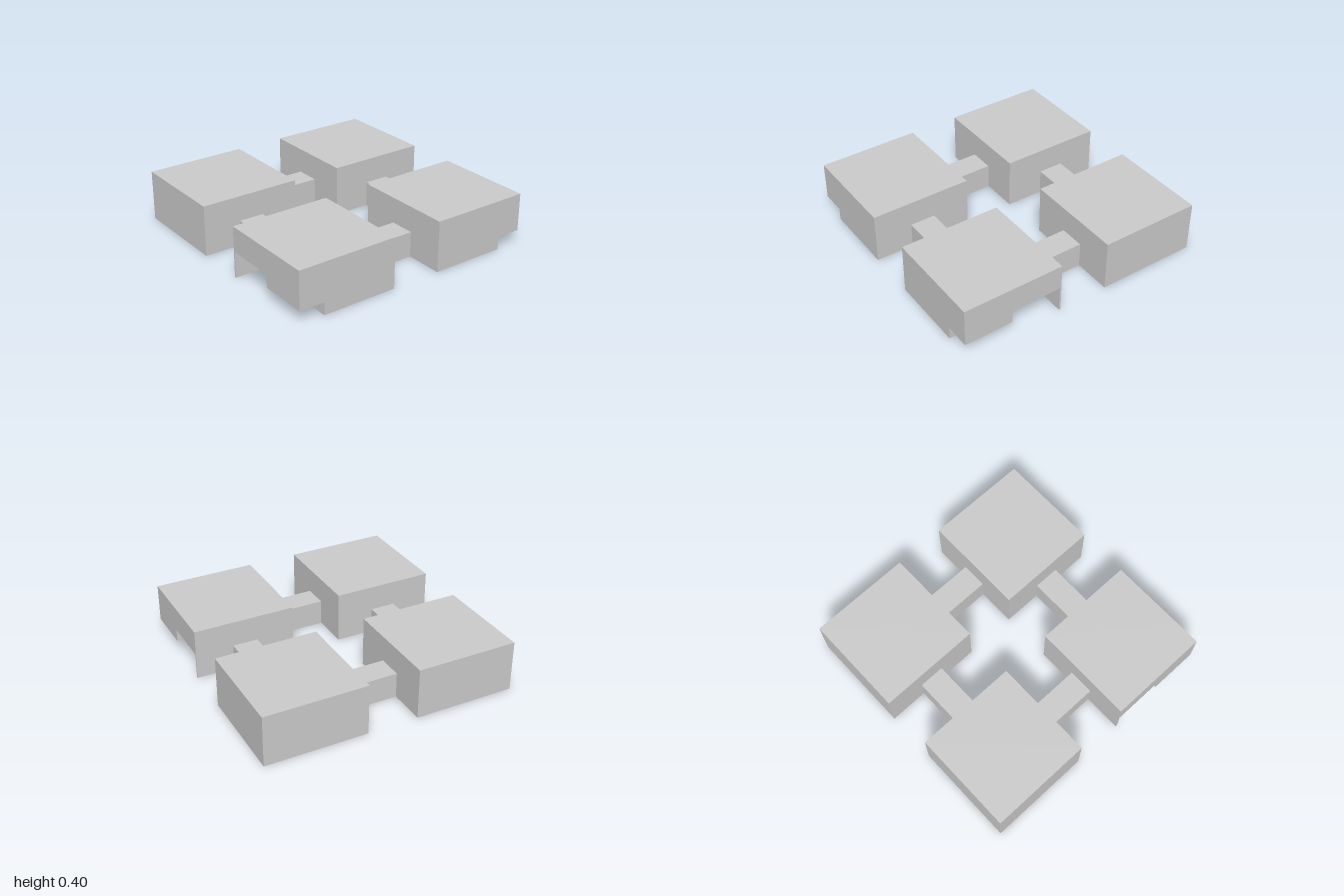
import * as THREE from 'three';

export function createModel() {
  const model = new THREE.Group();
  const material = new THREE.MeshStandardMaterial({ color: 0xcccccc, flatShading: true });

  const add = (name, geometry, x, y, z) => {
    const mesh = new THREE.Mesh(geometry, material);
    mesh.name = name;
    mesh.position.set(x, y, z);
    model.add(mesh);
  };
  const box = (name, w, h, d, x, z) => add(name, new THREE.BoxGeometry(w, h, d), x, h / 2, z);

  // Side profile (z, y) of the outer strip of a front block: a stepped
  // undercut that leaves a thin wall at the rear.
  const profile = new THREE.Shape([
    [1, 0.1], [1, 0.4], [0.2, 0.4], [0.2, 0],
    [0.213, 0], [0.213, 0.203], [0.615, 0.203], [0.615, 0.102],
  ].map(([z, y]) => new THREE.Vector2(z, y)));
  const strip = new THREE.ExtrudeGeometry(profile, { depth: 0.2, bevelEnabled: false });
  strip.rotateY(-Math.PI / 2); // profile runs along z, thickness along -x

  for (const [side, s] of [['left', 1], ['right', -1]]) {
    // Corner blocks
    box(`${side}BackBlock`, 0.8, 0.4, 0.8, s * 0.6, -0.6);
    box(`${side}FrontBlock`, 0.6, 0.4, 0.8, s * 0.5, 0.6);
    add(`${side}FrontUndercutStrip`, strip, s > 0 ? 1 : -0.8, 0, 0);

    // Low bridge joining the front and back blocks
    box(`${side}Bridge`, 0.2, 0.2, 0.4, s * 0.6, 0);
  }

  // Low bridges joining the left and right blocks
  box('frontBridge', 0.4, 0.2, 0.2, 0, 0.6);
  box('backBridge', 0.4, 0.2, 0.2, 0, -0.6);

  return model;
}
